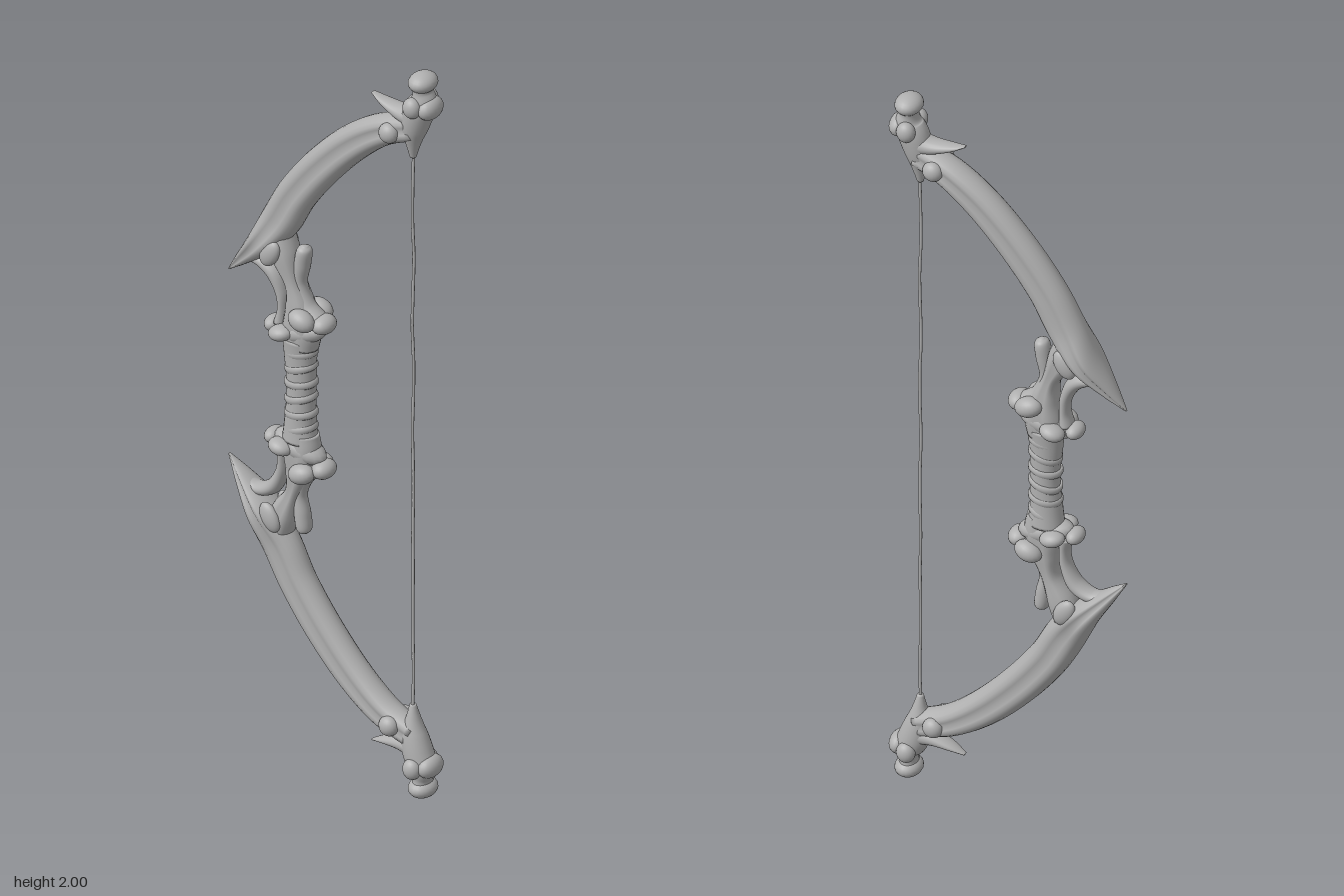
import * as THREE from 'three';

const bone = new THREE.MeshStandardMaterial({ color: 0xb0b0b0 });
bone.name = 'bone grey';

// Lofts elliptical rings along a path in the xy plane.
// Each row is [x, y, in-plane radius, z radius]; groove pinches the two sides.
function loft(name, rows, { groove = 0, steps = 8, sides = 24 } = {}) {
  const path = new THREE.CatmullRomCurve3(rows.map(r => new THREE.Vector3(r[0], r[1], 0)), false, 'catmullrom', 0.5);
  const radii = new THREE.CatmullRomCurve3(rows.map(r => new THREE.Vector3(r[2], r[3], 0)), false, 'catmullrom', 0.5);
  const n = (rows.length - 1) * steps;
  const pos = [], idx = [];
  for (let i = 0; i <= n; i++) {
    const c = path.getPoint(i / n), r = radii.getPoint(i / n);
    const t = path.getTangent(i / n);
    const rn = Math.max(r.x, 0.001), rz = Math.max(r.y, 0.001);
    for (let j = 0; j < sides; j++) {
      const a = (j / sides) * Math.PI * 2;
      const u = Math.cos(a) * rn;
      const pinch = 1 - groove * Math.exp(-((Math.cos(a) / 0.3) ** 2));
      pos.push(c.x - t.y * u, c.y + t.x * u, Math.sin(a) * rz * pinch);
    }
  }
  for (let i = 0; i < n; i++) {
    for (let j = 0; j < sides; j++) {
      const k = (j + 1) % sides;
      const a = i * sides + j, b = i * sides + k;
      idx.push(a, b, a + sides, b, b + sides, a + sides);
    }
  }
  // end caps
  const first = path.getPoint(0), last = path.getPoint(1), m = (n + 1) * sides;
  pos.push(first.x, first.y, 0, last.x, last.y, 0);
  for (let j = 0; j < sides; j++) {
    const k = (j + 1) % sides;
    idx.push(m, k, j, m + 1, n * sides + j, n * sides + k);
  }
  const g = new THREE.BufferGeometry();
  g.setAttribute('position', new THREE.Float32BufferAttribute(pos, 3));
  g.setIndex(idx);
  g.computeVertexNormals();
  const mesh = new THREE.Mesh(g, bone);
  mesh.name = name;
  return mesh;
}

// Rounded bone knob
function knob(name, x, y, z, rx, ry = rx, rz = rx, tilt = 0) {
  const mesh = new THREE.Mesh(new THREE.SphereGeometry(1, 20, 14), bone);
  mesh.name = name;
  mesh.position.set(x, y, z);
  mesh.scale.set(rx, ry, rz);
  mesh.rotation.z = tilt;
  return mesh;
}

// One half of the bow; s = 1 builds the upper half, s = -1 the lower one
function half(s) {
  const g = new THREE.Group();
  g.name = s > 0 ? 'upperHalf' : 'lowerHalf';
  const Y = y => 1 + s * (y - 1);
  const addLoft = (name, rows, opt) => g.add(loft(name, rows.map(([x, y, a, b]) => [x, Y(y), a, b]), opt));
  const addKnob = (name, x, y, z, rx, ry, rz, tilt = 0) => g.add(knob(name, x, Y(y), z, rx, ry, rz, tilt * s));
  const pair = (name, x, y, z, ...r) => [1, -1].forEach(k => addKnob(name, x, y, z * k, ...r));

  // curved limb ending in a forward spike
  addLoft('limb', [
    [-0.314, 1.255, 0.002, 0.003],
    [-0.265, 1.308, 0.019, 0.032],
    [-0.208, 1.372, 0.036, 0.058],
    [-0.155, 1.45, 0.05, 0.045],
    [-0.105, 1.54, 0.05, 0.042],
    [-0.03, 1.64, 0.049, 0.042],
    [0.06, 1.735, 0.046, 0.042],
    [0.15, 1.803, 0.04, 0.042],
    [0.24, 1.84, 0.034, 0.036],
  ], { groove: 0.28 });

  // root of the limb running into the joint
  addLoft('limbRoot', [
    [-0.165, 1.43, 0.03, 0.035],
    [-0.145, 1.36, 0.036, 0.04],
    [-0.115, 1.29, 0.022, 0.034],
    [-0.1, 1.23, 0.036, 0.038],
    [-0.095, 1.17, 0.05, 0.042],
    [-0.097, 1.12, 0.045, 0.038],
  ], { groove: 0.15 });

  // rib standing behind the limb root
  addLoft('rearRib', [
    [-0.086, 1.398, 0.006, 0.006],
    [-0.088, 1.385, 0.018, 0.021],
    [-0.094, 1.345, 0.02, 0.022],
    [-0.1, 1.29, 0.017, 0.019],
    [-0.08, 1.235, 0.02, 0.024],
    [-0.045, 1.2, 0.024, 0.03],
  ]);

  // hooked strut under the spike
  addLoft('hookStrut', [
    [-0.27, 1.298, 0.006, 0.014],
    [-0.225, 1.318, 0.015, 0.024],
    [-0.18, 1.298, 0.019, 0.026],
    [-0.155, 1.25, 0.015, 0.022],
    [-0.15, 1.205, 0.013, 0.022],
    [-0.155, 1.165, 0.018, 0.026],
  ]);

  // knuckles of the joint
  addKnob('frontKnuckle', -0.178, 1.155, 0, 0.022, 0.02, 0.032);
  addKnob('rearKnuckle', -0.03, 1.2, 0, 0.028, 0.024, 0.036);
  addKnob('jointCore', -0.1, 1.16, 0, 0.075, 0.032, 0.04, 0.25);
  pair('sideKnuckle', -0.133, 1.157, 0.036, 0.032, 0.02, 0.028, 0.2);
  pair('sideKnuckle', -0.07, 1.212, 0.037, 0.036, 0.026, 0.027, -0.3);
  pair('limbKnuckle', -0.165, 1.365, 0.036, 0.025, 0.04, 0.016, -0.5);

  // knobs clasping the limb end
  pair('clasp', 0.188, 1.82, 0.032, 0.026, 0.026, 0.022);

  // tip bone holding the string
  addLoft('tipBone', [
    [0.237, 1.757, 0.008, 0.008],
    [0.238, 1.79, 0.017, 0.018],
    [0.24, 1.835, 0.033, 0.031],
    [0.253, 1.885, 0.039, 0.037],
    [0.268, 1.92, 0.035, 0.035],
    [0.267, 1.95, 0.023, 0.029],
    [0.266, 1.975, 0.027, 0.033],
  ]);
  addLoft('tipSpike', [
    [0.117, 1.895, 0.002, 0.007],
    [0.155, 1.882, 0.01, 0.019],
    [0.205, 1.871, 0.02, 0.028],
    [0.255, 1.87, 0.034, 0.034],
  ]);
  addKnob('tipCap', 0.267, 1.975, 0, 0.034, 0.025, 0.041);
  addKnob('tipRearKnob', 0.289, 1.91, 0, 0.026, 0.029, 0.04);
  pair('tipSideKnob', 0.259, 1.914, 0.034, 0.024, 0.027, 0.021);
  return g;
}

export function createModel() {
  const model = new THREE.Group();
  model.name = 'boneBow';
  model.add(half(1), half(-1));

  // waisted grip with slanted wrapping
  model.add(loft('grip', [
    [-0.1, 0.86, 0.047, 0.04], [-0.1, 0.91, 0.041, 0.036], [-0.097, 1.0, 0.037, 0.034],
    [-0.1, 1.09, 0.042, 0.036], [-0.1, 1.14, 0.047, 0.04],
  ]));
  for (let i = 0; i < 6; i++) {
    const wrap = new THREE.Mesh(new THREE.TorusGeometry(0.036, 0.006, 8, 28), bone);
    wrap.name = 'gripWrap';
    wrap.position.set(-0.098, 0.895 + i * 0.042, 0);
    wrap.rotation.set(Math.PI / 2, (i % 2 ? 0.15 : 0.3), 0);
    wrap.scale.set(1.06, 0.9, 1.8);
    model.add(wrap);
  }

  // slightly uneven bowstring
  const points = [];
  for (let i = 0; i <= 16; i++) {
    points.push(new THREE.Vector3(0.237 + 0.0015 * Math.sin(i * 2.1), 0.23 + i * 0.09625, 0.0015 * Math.cos(i * 1.7)));
  }
  const string = new THREE.Mesh(new THREE.TubeGeometry(new THREE.CatmullRomCurve3(points), 64, 0.004, 8), bone);
  string.name = 'bowstring';
  model.add(string);
  return model;
}
